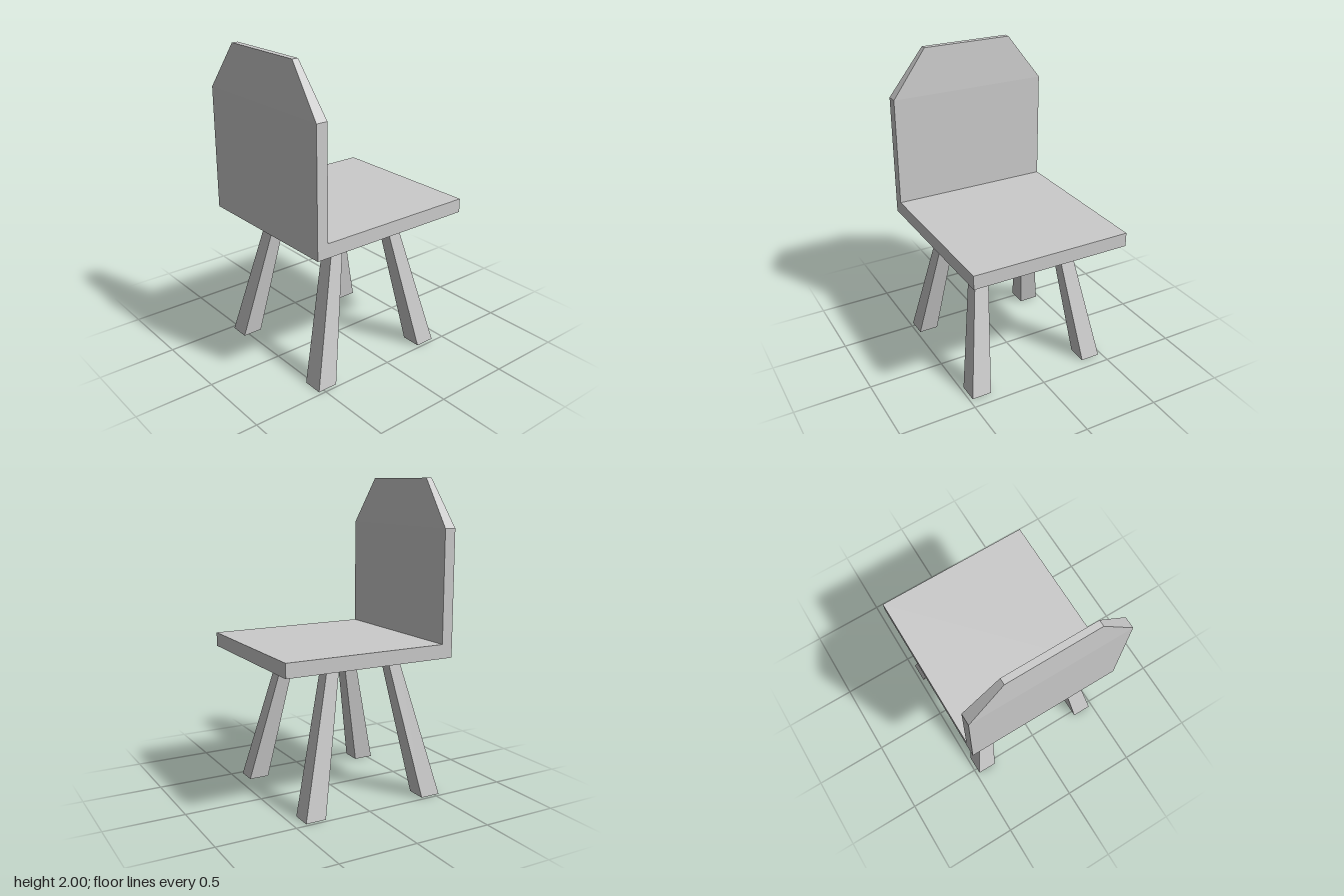
import * as THREE from 'three';

const material = new THREE.MeshStandardMaterial({ color: 0xcccccc, flatShading: true });

// Closed solid through rectangular sections [y, x0, x1, z0, z1], listed from bottom to top.
function loft(name, sections) {
  const rings = sections.map(([y, x0, x1, z0, z1]) => [[x0, y, z1], [x1, y, z1], [x1, y, z0], [x0, y, z0]]);
  const positions = [];
  const quad = (a, b, c, d) => positions.push(...a, ...b, ...c, ...a, ...c, ...d);
  for (let s = 0; s < rings.length - 1; s++) {
    const low = rings[s], high = rings[s + 1];
    for (let i = 0; i < 4; i++) {
      const j = (i + 1) % 4;
      quad(low[i], low[j], high[j], high[i]);
    }
  }
  quad(...[...rings[0]].reverse());
  quad(...rings[rings.length - 1]);
  const geometry = new THREE.BufferGeometry();
  geometry.setAttribute('position', new THREE.Float32BufferAttribute(positions, 3));
  geometry.computeVertexNormals();
  const mesh = new THREE.Mesh(geometry, material);
  mesh.name = name;
  return mesh;
}

export function createModel() {
  const chair = new THREE.Group();
  chair.name = 'chair';

  // Flat seat slab
  chair.add(loft('seat', [
    [0.905, -0.57, 0.57, -0.525, 0.525],
    [0.995, -0.57, 0.57, -0.525, 0.525],
  ]));

  // Backrest with a narrowing, thinning top
  chair.add(loft('backrest', [
    [0.995, -0.57, -0.497, -0.525, 0.525],
    [1.70, -0.57, -0.497, -0.525, 0.525],
    [2.0, -0.553, -0.513, -0.297, 0.297],
  ]));

  // Splayed legs, thicker at the floor
  const legs = [
    { end: 'front', foot: [0.293, 0.425], top: [0.115, 0.196] },
    { end: 'back', foot: [-0.535, -0.403], top: [-0.305, -0.225] },
  ];
  for (const { end, foot, top } of legs) {
    for (const [side, sign] of [['Left', 1], ['Right', -1]]) {
      const span = (a, b) => (sign > 0 ? [a, b] : [-b, -a]);
      chair.add(loft(`${end}Leg${side}`, [
        [0, ...foot, ...span(0.348, 0.478)],
        [0.905, ...top, ...span(0.24, 0.325)],
      ]));
    }
  }
  return chair;
}
